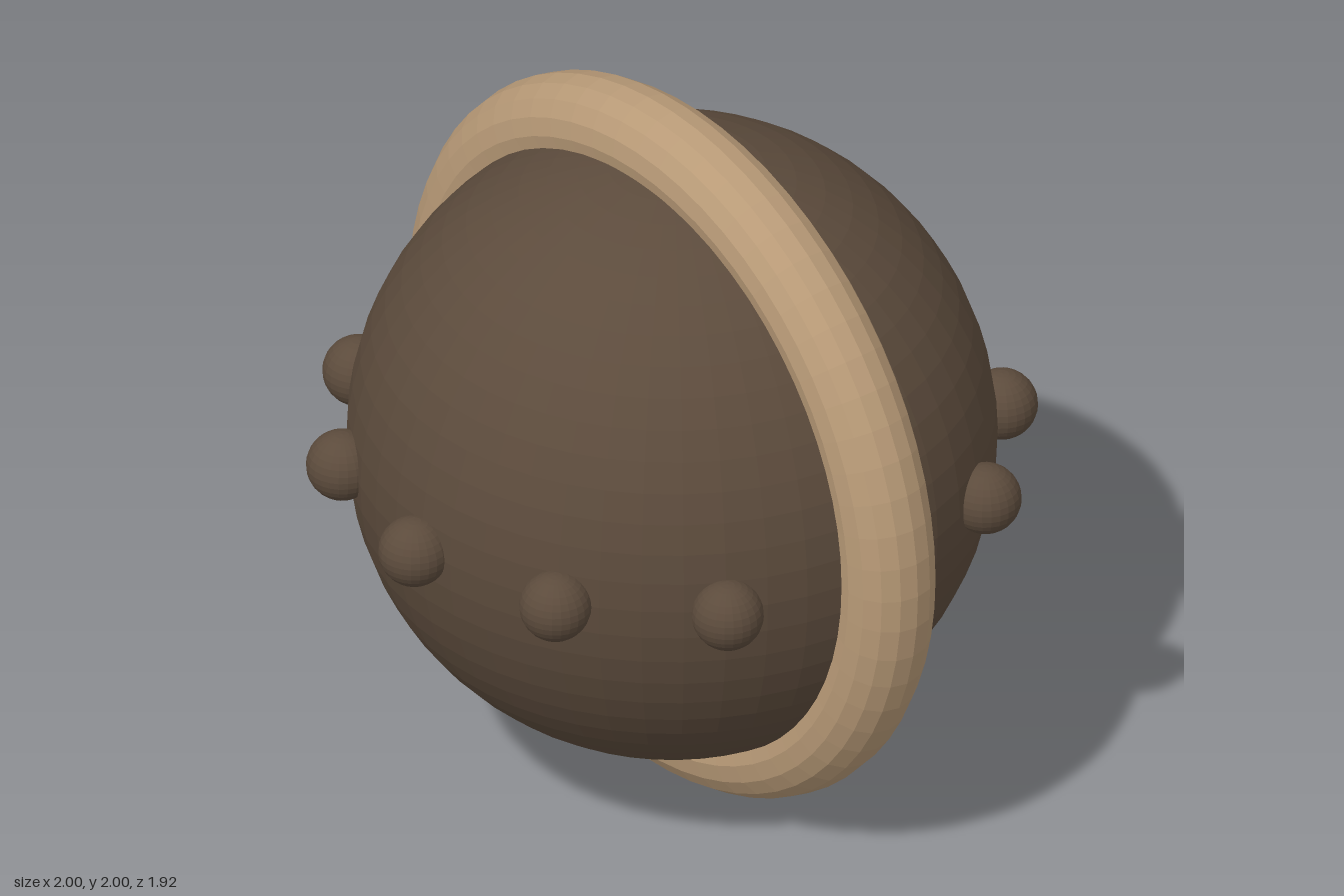
import * as THREE from 'three';

const CENTRE_Y = 1;
const BODY_RADIUS = 0.845;
const TUBE_RADIUS = 0.128;
const STUD_RADIUS = 0.094;
const STUD_ORBIT = 0.867;

export function createModel() {
  const group = new THREE.Group();
  group.name = 'studdedBall';

  const darkBrown = new THREE.MeshStandardMaterial({ color: 0x5c4b3c, flatShading: true });
  darkBrown.name = 'dark brown';
  const tan = new THREE.MeshStandardMaterial({ color: 0xb89a77, flatShading: true });
  tan.name = 'tan';

  const add = (name, geometry, material, x = 0, z = 0) => {
    const mesh = new THREE.Mesh(geometry, material);
    mesh.name = name;
    mesh.position.set(x, CENTRE_Y, z);
    group.add(mesh);
    return mesh;
  };

  // Round body
  add('body', new THREE.SphereGeometry(BODY_RADIUS, 48, 32), darkBrown);

  // Upright band around the body
  add('band', new THREE.TorusGeometry(1 - TUBE_RADIUS, TUBE_RADIUS, 16, 64), tan);

  // Studs every 30 degrees around the equator, leaving out the two under the band
  const studGeometry = new THREE.SphereGeometry(STUD_RADIUS, 24, 16);
  for (let i = 0; i < 12; i++) {
    if (i % 6 === 0) continue;
    const angle = (i * Math.PI) / 6;
    add('stud' + i, studGeometry, darkBrown, STUD_ORBIT * Math.cos(angle), STUD_ORBIT * Math.sin(angle));
  }

  return group;
}
